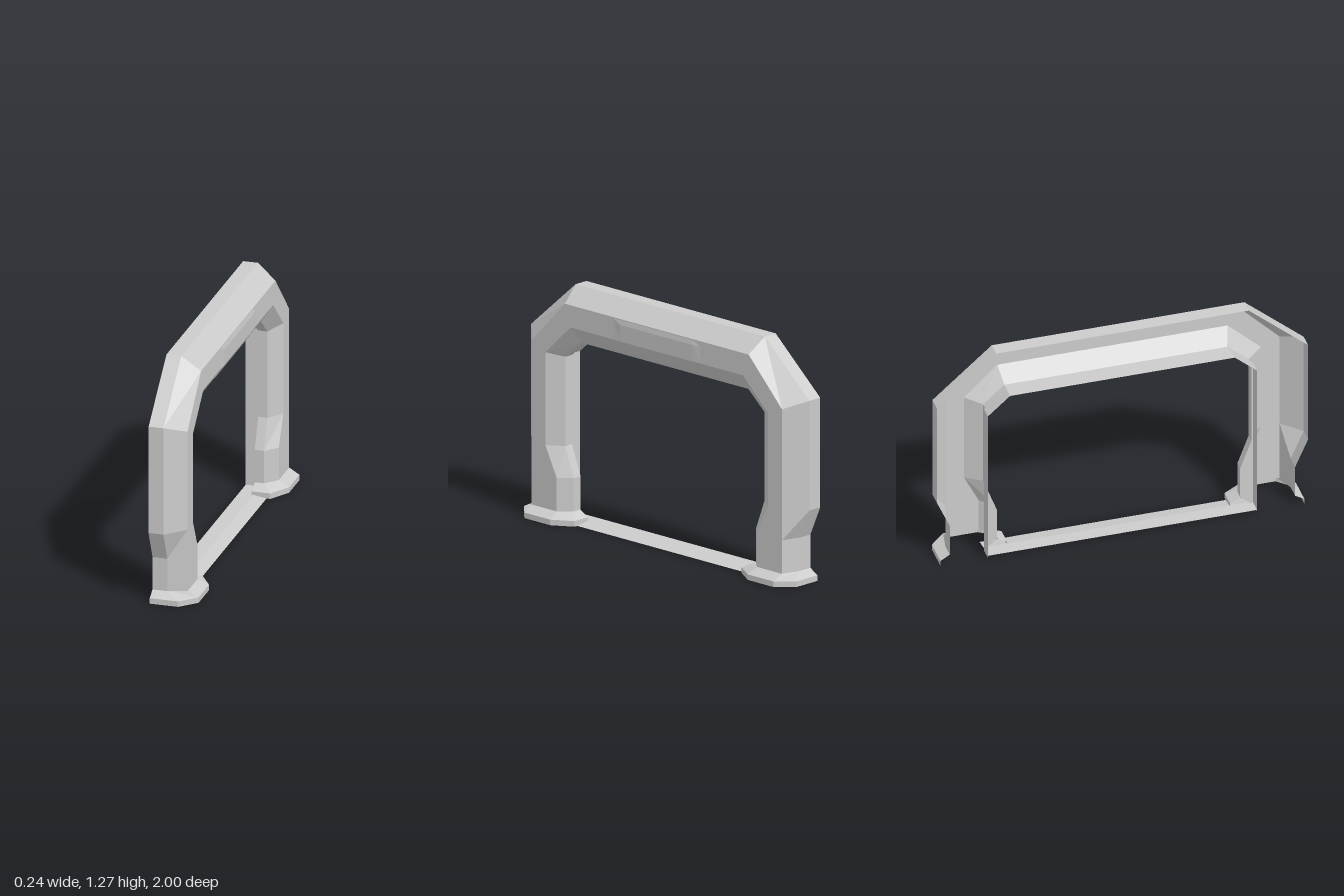
import * as THREE from 'three';

const material = new THREE.MeshStandardMaterial({
  color: 0xcccccc, flatShading: true, side: THREE.DoubleSide,
});

// Skins quads between successive rows of [x, y, z] points.
function loft(name, rows) {
  const pos = [];
  for (let i = 0; i < rows.length - 1; i++) {
    for (let j = 0; j < rows[i].length - 1; j++) {
      const a = rows[i][j], b = rows[i][j + 1];
      const c = rows[i + 1][j + 1], d = rows[i + 1][j];
      pos.push(...a, ...b, ...c, ...a, ...c, ...d);
    }
  }
  const geometry = new THREE.BufferGeometry();
  geometry.setAttribute('position', new THREE.Float32BufferAttribute(pos, 3));
  geometry.computeVertexNormals();
  const mesh = new THREE.Mesh(geometry, material);
  mesh.name = name;
  return mesh;
}

// Completes a half outline of [z, y], from foot to top corner, at depth x.
function archLine(x, half) {
  const left = half.map(([z, y]) => [x, y, z]);
  const right = half.map(([z, y]) => [x, y, -z]).reverse();
  return [...left, ...right];
}

export function createModel() {
  const group = new THREE.Group();
  group.name = 'doorFrame';

  // Half outlines of the arch, given as [z, y]
  const outer = [[0.93, 0.06], [0.93, 0.24], [1, 0.4], [1, 0.99], [0.68, 1.27]];
  const faceOuter = [[0.9, 0.06], [0.9, 0.24], [0.9, 0.4], [0.9, 0.945], [0.66, 1.19]];
  const faceInner = [[0.72, 0.06], [0.72, 0.24], [0.8, 0.4], [0.8, 0.9], [0.62, 1.07]];
  const inner = [[0.655, 0.06], [0.655, 0.24], [0.715, 0.4], [0.715, 0.88], [0.6, 0.98]];
  const jamb = [[0.725, 0], [0.725, 0.24], [0.725, 0.4], [0.725, 0.885], [0.605, 0.99]];

  // Hollow arch shell, open at the wall side
  group.add(loft('archShell', [
    archLine(-0.12, outer),
    archLine(-0.04, outer),
    archLine(0.06, faceOuter),
    archLine(0.06, faceInner),
    archLine(0, inner),
    archLine(-0.05, inner),
  ]));

  // Straight inner jamb with a small step behind the shell
  group.add(loft('innerJamb', [
    archLine(-0.05, inner),
    archLine(-0.05, jamb),
    archLine(-0.12, jamb),
  ]));

  // Flared skirt around each foot
  const legPlan = [[-0.12, 0.93], [-0.04, 0.93], [0.06, 0.9], [0.06, 0.72], [0, 0.655], [-0.05, 0.655]];
  const skirtPlan = [[-0.12, 0.98], [0.035, 0.98], [0.118, 0.895], [0.118, 0.71], [0.05, 0.6], [-0.05, 0.6]];
  for (const [side, name] of [[1, 'frontSkirt'], [-1, 'backSkirt']]) {
    const ring = (plan, y) => plan.map(([x, z]) => [x, y, z * side]);
    group.add(loft(name, [ring(legPlan, 0.06), ring(skirtPlan, 0.03), ring(skirtPlan, 0)]));
  }

  // Thin threshold with a sloping front edge
  const sillLine = (x, y) => [[x, y, 0.725], [x, y, -0.725]];
  group.add(loft('threshold', [sillLine(-0.12, 0.012), sillLine(-0.04, 0.012), sillLine(0.03, 0)]));

  // Slightly raised panel on the lintel: [y, surface x, raised x]
  const panelRows = [[1.185, 0.06, 0.0605], [1.16, 0.06, 0.065], [1.07, 0.06, 0.063],
    [1.005, 0.0167, 0.021], [0.985, 0.0033, 0.004]];
  group.add(loft('lintelPanel', panelRows.map(([y, base, raised]) => [
    [base, y, 0.31], [raised, y, 0.26], [raised, y, -0.26], [base, y, -0.31],
  ])));

  return group;
}
